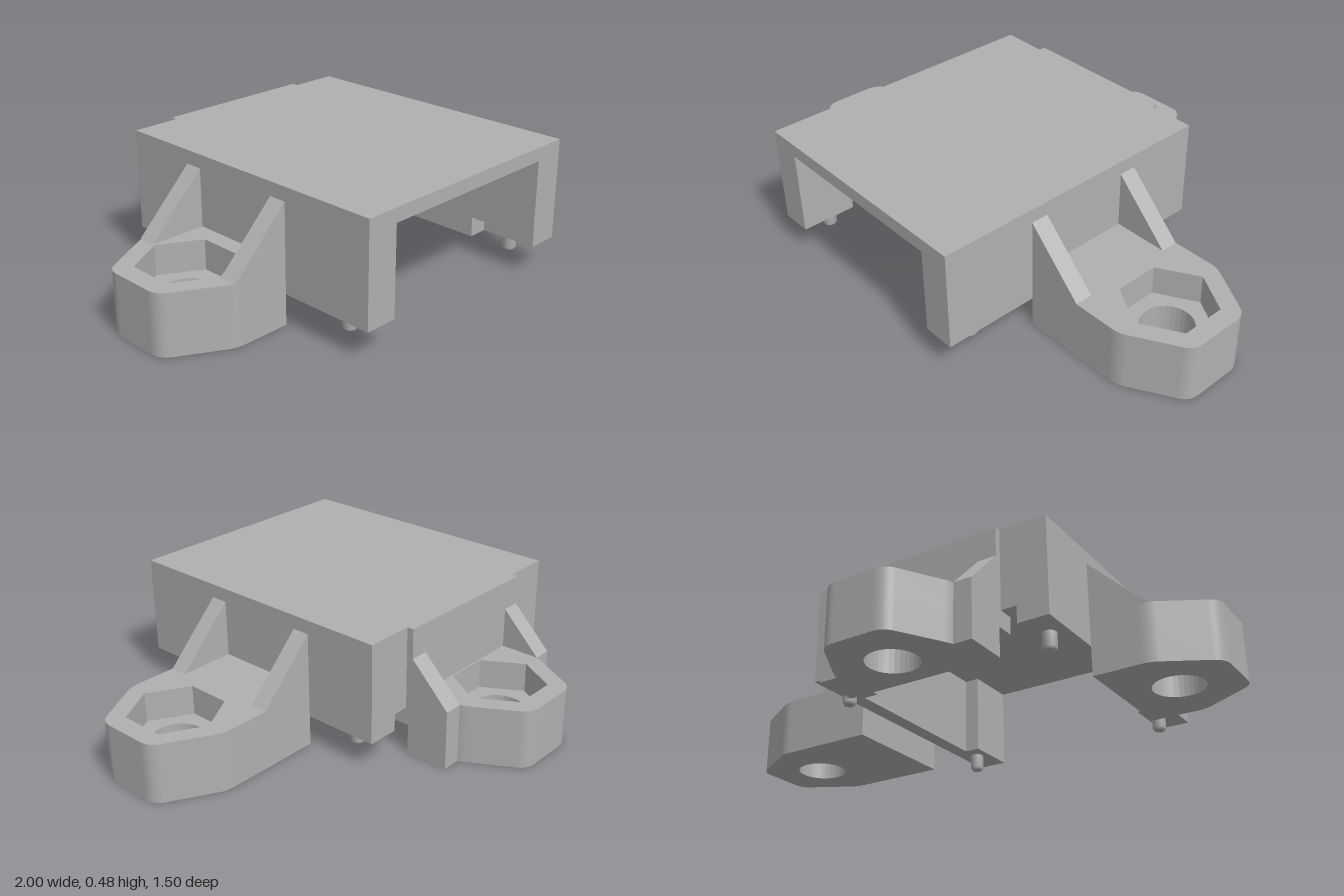
import * as THREE from 'three';

const grey = new THREE.MeshStandardMaterial({ color: 0xb0b0b0 });
grey.name = 'plain grey';

const CX = -0.095; // middle of the housing

function add(parent, name, geometry) {
  const mesh = new THREE.Mesh(geometry, grey);
  mesh.name = name;
  parent.add(mesh);
  return mesh;
}

// Box given by its limits
function block(parent, name, x0, x1, y0, y1, z0, z1) {
  const g = new THREE.BoxGeometry(x1 - x0, y1 - y0, z1 - z0);
  g.translate((x0 + x1) / 2, (y0 + y1) / 2, (z0 + z1) / 2);
  return add(parent, name, g);
}

// Outline whose corners [x, y, radius] may be rounded
function outline(points) {
  const shape = new THREE.Shape();
  points.forEach(([x, y, r = 0], i) => {
    const p = new THREE.Vector2(x, y);
    const toward = (q) => new THREE.Vector2(q[0], q[1]).sub(p).setLength(r).add(p);
    const a = toward(points[(i + points.length - 1) % points.length]);
    const b = toward(points[(i + 1) % points.length]);
    if (i === 0) shape.moveTo(a.x, a.y);
    else shape.lineTo(a.x, a.y);
    if (r) shape.quadraticCurveTo(x, y, b.x, b.y);
  });
  shape.closePath();
  return shape;
}

// Horizontal slab with one hole
function slab(points, hole, y0, y1) {
  const shape = outline(points);
  shape.holes.push(hole);
  const g = new THREE.ExtrudeGeometry(shape, { depth: y1 - y0, bevelEnabled: false, curveSegments: 16 });
  g.rotateX(-Math.PI / 2);
  g.translate(0, y0, 0);
  return g;
}

// Mounting lug pointing along local +x, centred on its bolt hole
function makeLug(name, inner, gusset, w0, w1) {
  const lug = new THREE.Group();
  lug.name = name;
  const points = [
    [-inner, -0.238], [0, -0.238, 0.03], [0.212, -0.118, 0.04],
    [0.212, 0.118, 0.04], [0, 0.238, 0.03], [-inner, 0.238],
  ];
  const bolt = new THREE.Path();
  bolt.absarc(0, 0, 0.094, 0, Math.PI * 2, true);
  const hex = new THREE.Path();
  for (let i = 0; i < 6; i++) {
    const a = Math.PI / 6 - (i * Math.PI) / 3;
    const x = 0.166 * Math.cos(a), y = 0.166 * Math.sin(a);
    if (i) hex.lineTo(x, y);
    else hex.moveTo(x, y);
  }
  hex.closePath();
  add(lug, 'lugBase', slab(points, bolt, 0, 0.11));
  add(lug, 'nutPocket', slab(points, hex, 0.11, 0.22));

  // Sloping gussets on both sides
  for (const start of [w0, -w1]) {
    const g = new THREE.ExtrudeGeometry(outline(gusset), { depth: w1 - w0, bevelEnabled: false });
    g.translate(0, 0, start);
    add(lug, 'gusset', g);
  }
  return lug;
}

export function createModel() {
  const model = new THREE.Group();
  model.name = 'mountingHousing';

  // Roof and its rear lip
  block(model, 'roof', -0.58, 0.39, 0.43, 0.48, -0.365, 0.75);
  block(model, 'rearPlate', -0.4, 0.21, 0.11, 0.48, -0.39, -0.36);

  // Side walls, corner posts and locating pins
  const pinProfile = [[0, 0.045], [0.018, 0.045], [0.026, 0.055], [0.026, 0.11]]
    .map(([x, y]) => new THREE.Vector2(x, y));
  for (const s of [-1, 1]) {
    const span = (name, a, b, y0, y1, z0, z1) =>
      block(model, name, CX + Math.min(s * a, s * b), CX + Math.max(s * a, s * b), y0, y1, z0, z1);
    span('sideWall', 0.425, 0.485, 0.11, 0.43, -0.365, 0.75);
    span('frontPost', 0.365, 0.425, 0.11, 0.43, 0.54, 0.75);
    span('rearPost', 0.365, 0.425, 0.11, 0.43, -0.365, -0.15);
    // Rear wall, raised beside the posts
    span('rearWallEnd', 0.305, 0.365, 0.175, 0.43, -0.365, -0.305);
    span('rearWallSide', 0.205, 0.305, 0.11, 0.43, -0.365, -0.305);
    for (const z of [0.615, -0.245]) {
      add(model, 'locatingPin', new THREE.LatheGeometry(pinProfile, 20)).position.set(CX + s * 0.418, 0, z);
    }
  }

  // Side lugs
  const sideGusset = (inner) => [[-inner, 0.22], [-inner + 0.21, 0.22], [-inner, 0.43]];
  const left = makeLug('leftLug', 0.395, sideGusset(0.395), 0.172, 0.238);
  left.position.set(0.787, 0, 0.158);
  const right = makeLug('rightLug', 0.207, sideGusset(0.207), 0.172, 0.238);
  right.position.set(-0.787, 0, 0.158);
  right.rotation.y = Math.PI;

  // Rear lug with full-height gussets
  const rearGusset = [[-0.165, 0], [0, 0], [0, 0.22], [-0.15, 0.37], [-0.165, 0.37]];
  const rear = makeLug('rearLug', 0.165, rearGusset, 0.235, 0.305);
  rear.position.set(CX, 0, -0.54);
  rear.rotation.y = Math.PI / 2;
  model.add(left, right, rear);
  return model;
}
